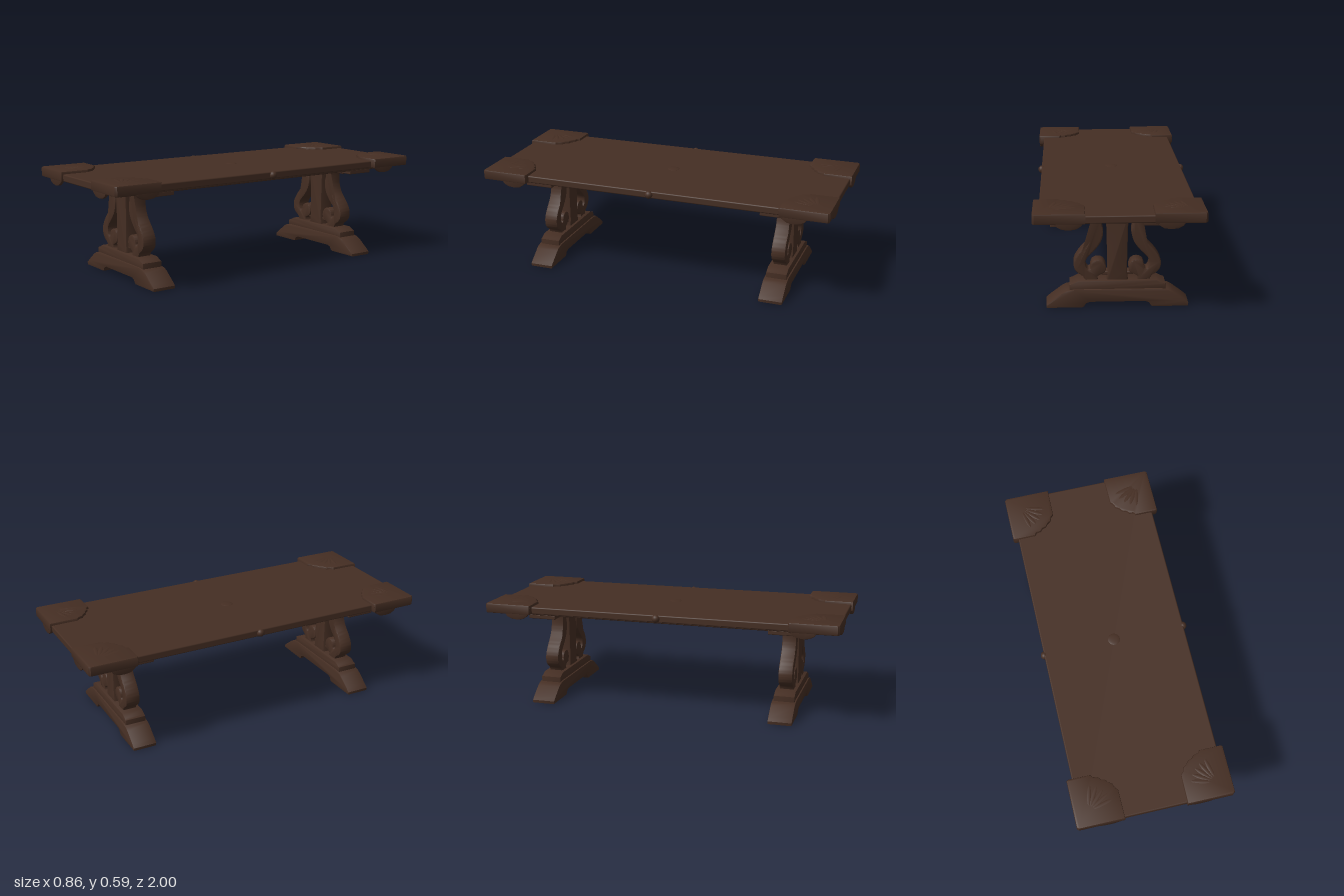
import * as THREE from 'three';
import { toCreasedNormals } from 'three/addons/utils/BufferGeometryUtils.js';
import { RoundedBoxGeometry } from 'three/addons/geometries/RoundedBoxGeometry.js';

const wood = new THREE.MeshStandardMaterial({ color: 0x452e23 });
wood.name = 'dark walnut';

function add(parent, name, geometry, x = 0, y = 0, z = 0) {
  const mesh = new THREE.Mesh(geometry, wood);
  mesh.name = name;
  mesh.position.set(x, y, z);
  parent.add(mesh);
  return mesh;
}

// Box given by its size and the height of its underside
function slab(parent, name, w, y0, y1, d, x = 0, z = 0, r = 0.005) {
  return add(parent, name, new RoundedBoxGeometry(w, y1 - y0, d, 2, r), x, (y0 + y1) / 2, z);
}

// Bevelled extrusion of an outline, centred on its depth
function extrude(shape, depth, bevel) {
  const g = new THREE.ExtrudeGeometry(shape, {
    depth: depth - 2 * bevel, curveSegments: 6, bevelEnabled: true,
    bevelSize: bevel, bevelThickness: bevel, bevelOffset: -bevel, bevelSegments: 2,
  });
  g.translate(0, 0, bevel - depth / 2);
  return toCreasedNormals(g, 0.7);
}

const vectors = (points, sx = 1, sy = 1) => points.map(([x, y]) => new THREE.Vector2(x * sx, y * sy));

// Outline symmetric about x = 0, from the points of its right half
function symmetric(points) {
  return new THREE.Shape([...vectors(points), ...vectors(points, -1).reverse()]);
}

const footOutline = [[0.145, 0.03], [0.165, 0.022], [0.175, 0.004], [0.185, 0], [0.37, 0], [0.372, 0.016],
  [0.35, 0.035], [0.29, 0.08], [0.268, 0.092], [0.225, 0.1]];
const stepOutline = [[0.25, 0.09], [0.25, 0.125], [0.235, 0.13], [0.205, 0.145]];
const postOutline = [[0.056, 0.14], [0.05, 0.19], [0.052, 0.3], [0.056, 0.46], [0.062, 0.495]];

// Scroll bracket: outer edge down to its foot, then back up around the curl
const scrollOuter = [[0.137, 0.495], [0.126, 0.465], [0.13, 0.405], [0.152, 0.352], [0.2, 0.295], [0.225, 0.25],
  [0.225, 0.21], [0.208, 0.183], [0.18, 0.163], [0.168, 0.14]];
const scrollInner = [[0.1, 0.14], [0.104, 0.16], [0.085, 0.172], [0.065, 0.185], [0.059, 0.212], [0.072, 0.242],
  [0.1, 0.254], [0.13, 0.243], [0.14, 0.22], [0.142, 0.206], [0.152, 0.202], [0.162, 0.215], [0.166, 0.24],
  [0.154, 0.268], [0.118, 0.305], [0.086, 0.35], [0.073, 0.405], [0.084, 0.455], [0.078, 0.495]];

function scrollShape(side) {
  const outer = vectors(scrollOuter, side), inner = vectors(scrollInner, side);
  const shape = new THREE.Shape();
  shape.moveTo(outer[0].x, outer[0].y);
  shape.splineThru(outer.slice(1));
  shape.lineTo(inner[0].x, inner[0].y);
  shape.splineThru(inner.slice(1));
  return shape;
}

function trestle(z) {
  const group = new THREE.Group();
  group.name = 'trestle';
  group.position.z = z;
  add(group, 'foot', extrude(symmetric(footOutline), 0.135, 0.006));
  add(group, 'footStep', extrude(symmetric(stepOutline), 0.118, 0.006));
  add(group, 'post', extrude(symmetric(postOutline), 0.092, 0.01));
  for (const side of [-1, 1]) {
    add(group, 'scroll', extrude(scrollShape(side), 0.08, 0.008));
    slab(group, 'scrollTie', 0.045, 0.168, 0.186, 0.06, side * 0.062);
  }
  slab(group, 'capital', 0.53, 0.486, 0.5, 0.125);
  slab(group, 'crossRail', 0.7, 0.495, 0.52, 0.16);
  return group;
}

// Corner plate in plan, with a scalloped inner edge
const cornerPlan = [[0.42, 1], [0.43, 0.99], [0.43, 0.735], [0.42, 0.729], [0.3, 0.73], [0.29, 0.745], [0.265, 0.748],
  [0.25, 0.765], [0.228, 0.772], [0.214, 0.79], [0.195, 0.802], [0.187, 0.825], [0.172, 0.84], [0.17, 1]];
// Hanging lobe: distance along the edge from the inner end of the corner, height
const lobe = [[0, 0.57], [0.005, 0.545], [0.02, 0.522], [0.045, 0.506], [0.08, 0.501], [0.115, 0.505],
  [0.14, 0.518], [0.152, 0.535], [0.152, 0.57]];

function corner(sx, sz) {
  const group = new THREE.Group();
  group.name = 'corner';
  const plate = extrude(new THREE.Shape(vectors(cornerPlan, sx, sz)), 0.056, 0.008);
  plate.rotateX(Math.PI / 2);
  add(group, 'cornerPlate', plate, 0, 0.559, 0);
  // Lobes on the end and on the long side
  const endLobe = new THREE.Shape(lobe.map(([u, y]) => new THREE.Vector2(sx * (0.17 + u), y)));
  add(group, 'endLobe', extrude(endLobe, 0.02, 0.005), 0, 0, sz * 0.988);
  const sideLobe = new THREE.Shape(lobe.map(([u, y]) => new THREE.Vector2(-sz * (0.73 + u), y)));
  add(group, 'sideLobe', extrude(sideLobe, 0.02, 0.005).rotateY(Math.PI / 2), sx * 0.418, 0, 0);
  // Low carved ribs fanning out from the outer corner
  for (let i = 0; i < 5; i++) {
    const a = 0.25 + i * 0.27;
    const rib = add(group, 'shellRib', new THREE.SphereGeometry(1, 12, 8),
      sx * (0.35 - 0.085 * Math.cos(a)), 0.585, sz * (0.92 - 0.085 * Math.sin(a)));
    rib.scale.set(0.065, 0.004, 0.013);
    rib.rotation.y = -sx * sz * a;
  }
  return group;
}

export function createModel() {
  const table = new THREE.Group();
  table.name = 'trestleTable';

  // Top with stepped mouldings beneath
  slab(table, 'tableTop', 0.8, 0.532, 0.572, 1.98, 0, 0, 0.007);
  slab(table, 'topMoulding', 0.75, 0.522, 0.535, 1.91);
  slab(table, 'underPanel', 0.7, 0.514, 0.525, 1.86);

  // Small bosses at the middle
  add(table, 'centreBoss', new THREE.SphereGeometry(1, 20, 10), 0, 0.571, 0).scale.set(0.035, 0.005, 0.035);
  for (const sx of [-1, 1]) {
    add(table, 'sideBoss', new THREE.SphereGeometry(1, 16, 10), sx * 0.4, 0.553, 0).scale.set(0.02, 0.022, 0.022);
    for (const sz of [-1, 1]) table.add(corner(sx, sz));
  }

  for (const sz of [-1, 1]) table.add(trestle(sz * 0.69));
  return table;
}
